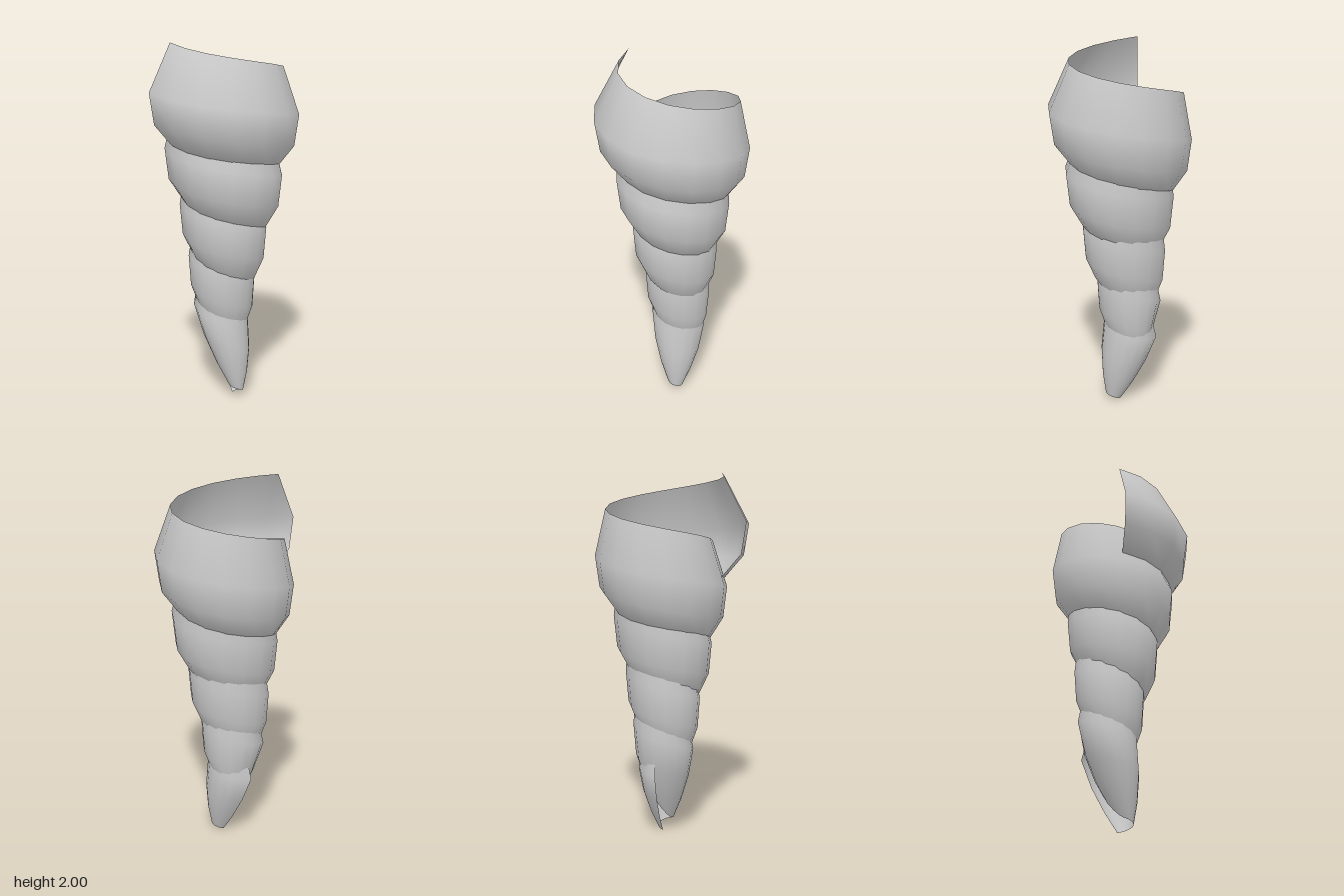
import * as THREE from 'three';

const SIDES = 16;      // segments per turn
const TURNS = 4.75;    // total turns from tip to mouth

// One row per half turn, from the mouth downwards:
// [belly radius, belly height, belly centre z, rim radius]
const GROWTH = [
  [0.450, 1.75, -0.040, 0.330], [0.390, 1.58, -0.040, 0.310],
  [0.330, 1.41, -0.025, 0.270], [0.295, 1.25, -0.020, 0.245],
  [0.250, 1.10, -0.035, 0.205], [0.225, 0.95, -0.040, 0.190],
  [0.190, 0.80, -0.060, 0.155], [0.178, 0.66, -0.065, 0.140],
  [0.157, 0.51, -0.070, 0.120], [0.147, 0.40, -0.070, 0.100],
  [0.140, 0.34, -0.070, 0.090],
];

const { lerp, smoothstep } = THREE.MathUtils;

function growthAt(turnsBack) {
  const s = Math.min(turnsBack * 2, GROWTH.length - 1.001);
  const i = Math.floor(s);
  return GROWTH[i].map((v, k) => lerp(v, GROWTH[i + 1][k], s - i));
}

// Cross-section of the sheet, from the upper rim to the lower inner edge
function section(turnsBack) {
  const [r, y, cz, rimR] = growthAt(turnsBack);
  const angle = Math.PI + 0.17 - turnsBack * Math.PI * 2;
  const c = Math.cos(angle), s = Math.sin(angle);
  const at = (radius, height, cx, z) => new THREE.Vector3(cx + radius * c, height, z + radius * s);

  const rim = at(rimR, y + 0.25, 0.035, -0.055);
  const belly = at(r, y, 0.02, cz);
  const lower = at(r * 0.94, y - 0.17, 0.02, cz);
  const under = at(r * 0.72, y - 0.285, 0.02, cz);
  const edge = at(r * 0.56, y - 0.33, 0.02, cz);

  // The first turn is drawn down into the pointed tip
  const k = smoothstep(turnsBack, 3.45, 3.95);
  const tip = at(0.042, Math.max(0, 0.09 * (TURNS - turnsBack)), 0.04, 0.03);
  const bulge = (f, out) => {
    const p = belly.clone().lerp(tip, f);
    p.x += out * c;
    p.z += out * s;
    return p;
  };
  lower.lerp(bulge(0.38, 0.018), k);
  under.lerp(bulge(0.72, 0.015), k);
  edge.lerp(tip, k);
  return [rim, belly, lower, under, edge];
}

// Skin the cross-sections into one open spiral sheet
function spiralSheet() {
  const steps = Math.round(TURNS * SIDES);
  const positions = [], index = [];
  let n = 0;
  for (let i = 0; i <= steps; i++) {
    const points = section(TURNS - i / SIDES);
    n = points.length;
    points.forEach(p => positions.push(p.x, p.y, p.z));
  }
  for (let i = 0; i < steps; i++) {
    for (let j = 0; j < n - 1; j++) {
      const a = i * n + j, b = a + n;
      index.push(a, b, a + 1, b, b + 1, a + 1);
    }
  }
  const geometry = new THREE.BufferGeometry();
  geometry.setAttribute('position', new THREE.Float32BufferAttribute(positions, 3));
  geometry.setIndex(index);
  geometry.computeVertexNormals();
  // Outward normals: the sheet is wound so its front faces away from the axis
  return geometry;
}

export function createModel() {
  const group = new THREE.Group();
  group.name = 'spiralShell';
  const material = new THREE.MeshStandardMaterial({ color: 0xcccccc, side: THREE.DoubleSide });
  const whorls = new THREE.Mesh(spiralSheet(), material);
  whorls.name = 'shellWhorls';
  group.add(whorls);
  return group;
}
